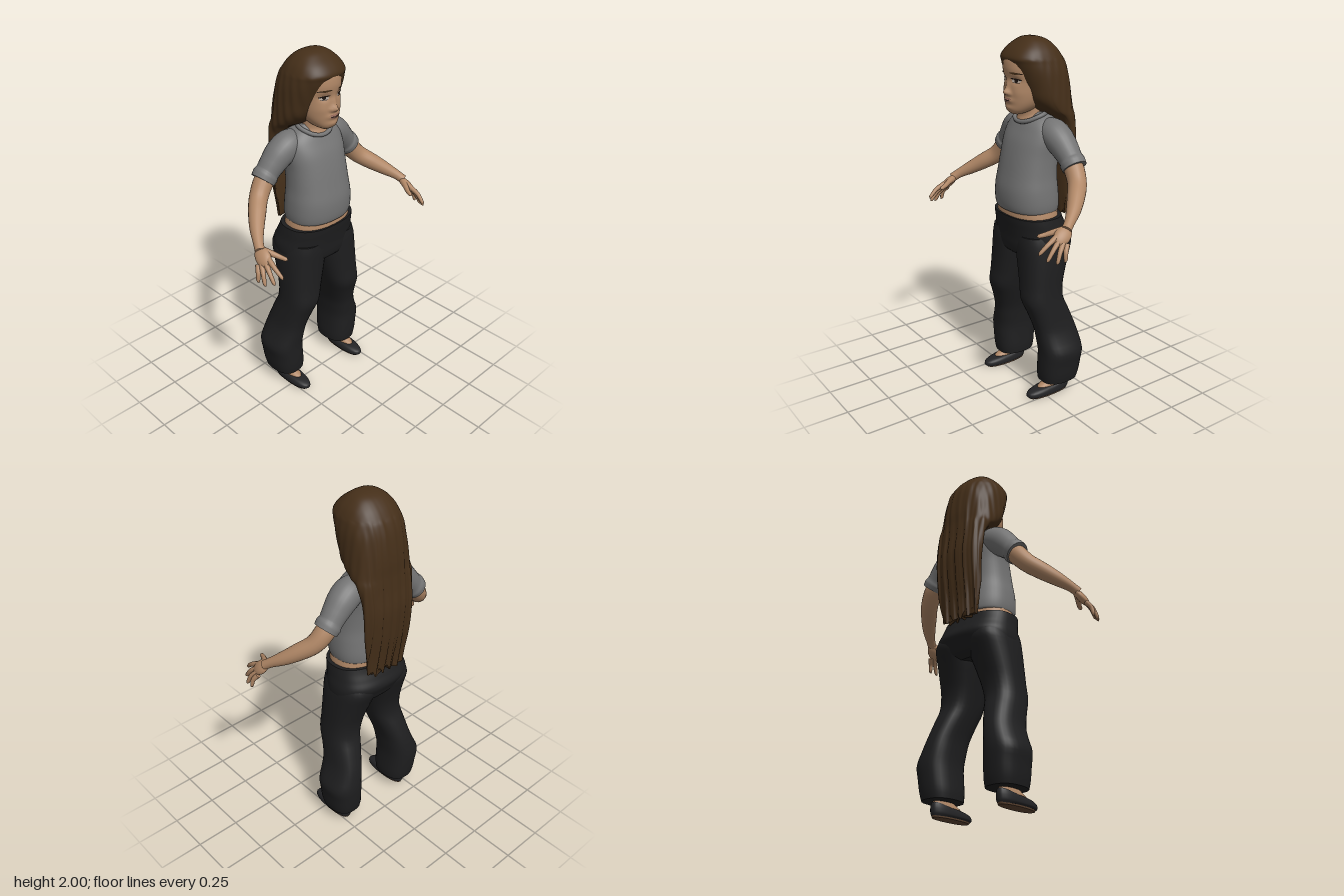
import * as THREE from 'three';

const mat = (name, color) => Object.assign(new THREE.MeshStandardMaterial({ color }), { name });

// Smooth interpolation through a list of number rows, t in 0..1
function sample(rows, t) {
  const n = rows.length - 1, f = Math.min(t * n, n - 1e-6), i = Math.floor(f), u = f - i;
  const a = rows[Math.max(i - 1, 0)], b = rows[i], c = rows[i + 1], d = rows[Math.min(i + 2, n)];
  return b.map((_, k) => b[k] + 0.5 * u * (c[k] - a[k] + u * (2 * a[k] - 5 * b[k] + 4 * c[k] - d[k]
    + u * (3 * (b[k] - c[k]) + d[k] - a[k]))));
}

// Skin a list of rings; the two ends get flat caps
function skinRings(rings) {
  const pos = [], idx = [], n = rings[0].length;
  rings.forEach(r => r.forEach(p => pos.push(p.x, p.y, p.z)));
  for (let i = 0; i < rings.length - 1; i++) for (let j = 0; j < n; j++) {
    const a = i * n + j, b = i * n + (j + 1) % n;
    idx.push(a, b, a + n, b, b + n, a + n);
  }
  [rings[0], rings[rings.length - 1]].forEach((ring, end) => {
    const start = pos.length / 3, mid = new THREE.Vector3();
    ring.forEach(p => { pos.push(p.x, p.y, p.z); mid.addScaledVector(p, 1 / n); });
    pos.push(mid.x, mid.y, mid.z);
    for (let j = 0; j < n; j++) {
      const a = start + j, b = start + (j + 1) % n;
      if (end) idx.push(a, b, start + n); else idx.push(b, a, start + n);
    }
  });
  const g = new THREE.BufferGeometry();
  g.setAttribute('position', new THREE.Float32BufferAttribute(pos, 3));
  g.setIndex(idx);
  g.computeVertexNormals();
  return g;
}

// Horizontal rings from bottom to top; row = [y, xMin, xMax, zFront, zBack]
function loft(rows, { segs = 32, steps = 32, power = 2, warp } = {}) {
  const rings = [];
  for (let i = 0; i <= steps; i++) {
    const t = i / steps, [y, x0, x1, zf, zb] = sample(rows, t), ring = [];
    for (let j = 0; j < segs; j++) {
      const a = j / segs * Math.PI * 2, s = Math.sin(a), c = Math.cos(a);
      const e = v => Math.sign(v) * Math.pow(Math.abs(v), 2 / power);
      const p = new THREE.Vector3((x0 + x1) / 2 + (x1 - x0) / 2 * e(s), y, (zf + zb) / 2 + (zf - zb) / 2 * e(c));
      if (warp) warp(p, a, t);
      ring.push(p);
    }
    rings.push(ring);
  }
  return skinRings(rings);
}
const even = rows => rows.map(([y, w, f, b]) => [y, -w, w, f, b]);
const sided = (rows, s) => rows.map(([y, a, b, f, k]) => s > 0 ? [y, a, b, f, k] : [y, -b, -a, f, k]);

// Limb along a path; row = [x, y, z, radius]
function limb(rows, s, segs = 20, steps = 24) {
  const curve = new THREE.CatmullRomCurve3(rows.map(r => new THREE.Vector3(r[0] * s, r[1], r[2])));
  const { normals, binormals } = curve.computeFrenetFrames(steps);
  const rings = [];
  for (let i = 0; i <= steps; i++) {
    const c = curve.getPointAt(i / steps), t = curve.getUtoTmapping(i / steps), r = sample(rows, t)[3];
    rings.push(Array.from({ length: segs }, (_, j) => {
      const a = j / segs * Math.PI * 2;
      return c.clone().addScaledVector(normals[i], r * Math.cos(a)).addScaledVector(binormals[i], r * Math.sin(a));
    }));
  }
  return skinRings(rings);
}

export function createModel() {
  const model = new THREE.Group();
  const skin = mat('skin', 0xb08766), hairM = mat('hair brown', 0x452f19), shirt = mat('shirt grey', 0x747474);
  const cloth = mat('trouser black', 0x1e1e1f), shoeM = mat('shoe black', 0x232325), soleM = mat('sole brown', 0x5e4532);
  const lipM = mat('lip', 0x96695a), white = mat('eye white', 0xb8aca0), dark = mat('eye dark', 0x1c130e);
  const add = (name, geo, m) => {
    const mesh = new THREE.Mesh(geo, m);
    mesh.name = name;
    model.add(mesh);
    return mesh;
  };

  // Head with nose, lips, cheeks and eye sockets pushed out of the front
  const bump = (p, x, y, w, h) => Math.exp(-(((p.x - x) / w) ** 2) - ((p.y - y) / h) ** 2);
  const head = add('head', loft(even([
    [1.603, .03, .055, .0], [1.622, .062, .078, -.06], [1.66, .092, .084, -.12], [1.71, .11, .085, -.17],
    [1.78, .117, .084, -.19], [1.85, .117, .093, -.2], [1.91, .103, .078, -.18], [1.96, .055, .02, -.13],
  ]), {
    segs: 80, steps: 64, power: 2.15, warp: p => {
      if (p.z < 0) return;
      p.z += .027 * bump(p, 0, 1.722, .017, .017) + .012 * bump(p, 0, 1.752, .013, .03)
        + .011 * bump(p, 0, 1.68, .034, .014) + .006 * bump(p, 0, 1.64, .03, .014);
      for (const s of [-1, 1]) p.z += .009 * bump(p, s * .02, 1.716, .01, .01)
        - .011 * bump(p, s * .05, 1.785, .028, .018) + .004 * bump(p, s * .065, 1.72, .03, .03);
    },
  }), skin);
  add('neck', loft(even([[1.53, .095, .0, -.14], [1.56, .088, .012, -.14], [1.6, .07, .004, -.13], [1.68, .064, .02, -.13]])), skin);

  // Face details are thin patches laid on the head
  const ray = new THREE.Raycaster(), back = new THREE.Vector3(0, 0, -1);
  const patch = (name, x, y, w, h, tilt, m, lift) => {
    const g = new THREE.CircleGeometry(1, 20).scale(w, h, 1).rotateZ(tilt).translate(x, y, 0), p = g.attributes.position;
    for (let i = 0; i < p.count; i++) {
      ray.set(new THREE.Vector3(p.getX(i), p.getY(i), 1), back);
      const hit = ray.intersectObject(head)[0];
      p.setZ(i, (hit ? hit.point.z : .05) + lift);
    }
    g.computeVertexNormals();
    add(name, g, m);
  };
  for (const s of [-1, 1]) {
    patch('eyeWhite', s * .052, 1.783, .024, .009, 0, white, .003);
    patch('iris', s * .052, 1.784, .0095, .0085, 0, dark, .005);
    patch('upperLash', s * .054, 1.792, .029, .0045, -s * .1, dark, .006);
    patch('lowerLash', s * .054, 1.774, .02, .0018, 0, dark, .005);
    patch('eyebrow', s * .055, 1.822, .034, .0055, -s * .08, hairM, .004);
    patch('nostril', s * .013, 1.71, .006, .003, 0, lipM, .002);
  }
  patch('upperLip', 0, 1.687, .032, .005, 0, lipM, .002);
  patch('lowerLip', 0, 1.675, .027, .006, 0, lipM, .002);
  patch('mouthLine', 0, 1.6815, .031, .0015, 0, dark, .004);

  // Long hair: cap around the head running into a sheet down the back
  add('hair', loft(even([
    [1.035, .125, -.205, -.238], [1.12, .135, -.195, -.25], [1.22, .15, -.195, -.265], [1.32, .16, -.2, -.275],
    [1.42, .165, -.19, -.28], [1.52, .17, -.17, -.272], [1.58, .175, -.13, -.268], [1.62, .178, -.06, -.266],
    [1.68, .178, .005, -.265], [1.75, .175, .035, -.258], [1.82, .17, .062, -.246], [1.87, .161, .08, -.23],
    [1.9, .152, .088, -.214], [1.94, .129, .06, -.185], [1.975, .093, .016, -.147], [1.993, .058, -.015, -.11], [2, .022, -.045, -.075],
  ]), {
    segs: 120, steps: 80, power: 2.4, warp: (p, a, t) => {
      const k = Math.min(1, Math.max(0, 1 - t)) * (p.y < 1.9 ? 1 : .3);
      const w = Math.sin(p.x * 115 + Math.sin(t * 5)) * .6 + Math.sin(p.x * 210 + t * 4) * .4;
      if (Math.cos(a) < .3) p.z += k * w * .008;
      p.x += k * .004 * Math.sin(p.z * 130 + t * 6);
      if (t < .12) p.y += (1 - t / .12) * .022 * Math.sin(p.x * 120 + 1);
    },
  }), hairM);

  // Shirt body, collar and waist
  add('shirtBody', loft(even([
    [1.075, .178, .092, -.18], [1.085, .188, .108, -.188], [1.13, .193, .116, -.19], [1.2, .19, .115, -.184], [1.28, .181, .1, -.178],
    [1.38, .178, .078, -.185], [1.46, .183, .054, -.195], [1.52, .178, .025, -.195], [1.56, .15, .003, -.18],
    [1.59, .11, -.022, -.155], [1.61, .08, -.04, -.13],
  ]), { segs: 48, steps: 50, power: 2.3 }), shirt);
  const collar = [[0, 1.557, .014], [.06, 1.568, .0], [.1, 1.598, -.06], [.07, 1.608, -.12], [0, 1.61, -.14],
    [-.07, 1.608, -.12], [-.1, 1.598, -.06], [-.06, 1.568, .0]].map(p => new THREE.Vector3(...p));
  add('collar', new THREE.TubeGeometry(new THREE.CatmullRomCurve3(collar, true), 48, .012, 8, true), shirt);
  add('waist', loft(even([[1.0, .195, .09, -.185], [1.05, .194, .096, -.18], [1.11, .18, .09, -.175]]), { power: 2.3 }), skin);

  // Trouser seat
  add('trouserSeat', loft(even([
    [.81, .17, .04, -.17], [.84, .215, .075, -.205], [.88, .235, .086, -.225], [.93, .236, .09, -.245], [.98, .226, .096, -.225], [1.02, .22, .102, -.205], [1.05, .215, .105, -.193],
  ]), { segs: 48, power: 2.4 }), cloth);

  for (const s of [1, -1]) {
    const side = s > 0 ? 'left' : 'right';
    // Sleeve with rolled cuff, and arm
    add(side + 'Sleeve', limb([[.09, 1.515, -.1, .07], [.15, 1.505, -.102, .08], [.2, 1.475, -.107, .079], [.25, 1.428, -.112, .07],
      [.285, 1.39, -.115, .064], [.297, 1.378, -.115, .069], [.318, 1.355, -.114, .066]], s, 24, 36), shirt);
    add(side + 'Arm', limb([[.25, 1.42, -.11, .05], [.31, 1.355, -.112, .054], [.37, 1.285, -.09, .05], [.43, 1.235, -.035, .046],
      [.485, 1.19, .025, .037], [.525, 1.155, .08, .027], [.545, 1.13, .115, .026]], s), skin);
    // Palm and fingers
    const palm = new THREE.SphereGeometry(1, 20, 14).scale(.042, .022, .06);
    palm.rotateZ(-.75).rotateX(.6).rotateY(.25);
    if (s < 0) palm.rotateY(-.5).rotateZ(0);
    const hand = [[.548, 1.105, .14], [.56, 1.095, .155]];
    if (s > 0) add('leftPalm', palm.translate(...hand[0]), skin);
    else add('rightPalm', new THREE.SphereGeometry(1, 20, 14).scale(.042, .022, .06)
      .rotateZ(.75).rotateX(.6).rotateY(-.25).translate(-hand[0][0], hand[0][1], hand[0][2]), skin);
    [[.54, 1.03, .277], [.572, 1.0, .252], [.597, .987, .212], [.602, .99, .168]].forEach(([x, y, z], i) => {
      const b = [.54 + i * .012, 1.105 - i * .012, .17 - i * .012];
      add(side + 'Finger' + (i + 1), limb([[...b, .015], [(b[0] + x) / 2 + .006, (b[1] + y) / 2 + .008, (b[2] + z) / 2 + .004, .0125],
        [x, y + .008, z - .006, .009], [x, y, z, .002]], s, 10, 14), skin);
    });
    add(side + 'Thumb', limb([[.535, 1.13, .115, .02], [.508, 1.118, .165, .016], [.486, 1.105, .205, .013],
      [.475, 1.1, .233, .01], [.472, 1.098, .24, .002]], s, 10, 14), skin);

    // Flared trouser leg
    add(side + 'TrouserLeg', loft(sided([
      [.085, .125, .308, .012, -.212], [.13, .122, .318, .018, -.222], [.2, .126, .326, .02, -.23], [.27, .128, .334, .02, -.234], [.34, .122, .305, .026, -.226],
      [.41, .112, .28, .035, -.21], [.5, .086, .266, .062, -.178], [.58, .062, .256, .09, -.148], [.66, .04, .25, .086, -.15],
      [.74, .018, .247, .084, -.172], [.82, -.002, .243, .084, -.2], [.9, -.01, .235, .085, -.228], [.95, .0, .22, .08, -.21],
    ], s), { segs: 28, steps: 36, power: 2.5 }), cloth);

    // Foot, slipper and sole
    add(side + 'Foot', loft(sided([[.03, .182, .258, .05, -.155], [.058, .183, .257, .035, -.158], [.075, .186, .254, .005, -.158],
      [.1, .19, .25, -.03, -.157], [.16, .188, .252, -.045, -.155]], s), { power: 2.2 }), skin);
    add(side + 'Shoe', loft(sided([[.008, .178, .262, .104, -.165], [.018, .17, .27, .112, -.17], [.035, .17, .27, .106, -.172],
      [.048, .174, .266, .075, -.17], [.056, .18, .26, .03, -.166]], s), {
      power: 2.3, warp: (p, a, t) => { p.y += t * .022 * Math.max(0, -Math.cos(a)); },
    }), shoeM);
    add(side + 'Sole', loft(sided([[0, .18, .26, .095, -.162], [.01, .178, .262, .104, -.166]], s), { steps: 2, power: 2.3 }), soleM);
  }
  return model;
}
